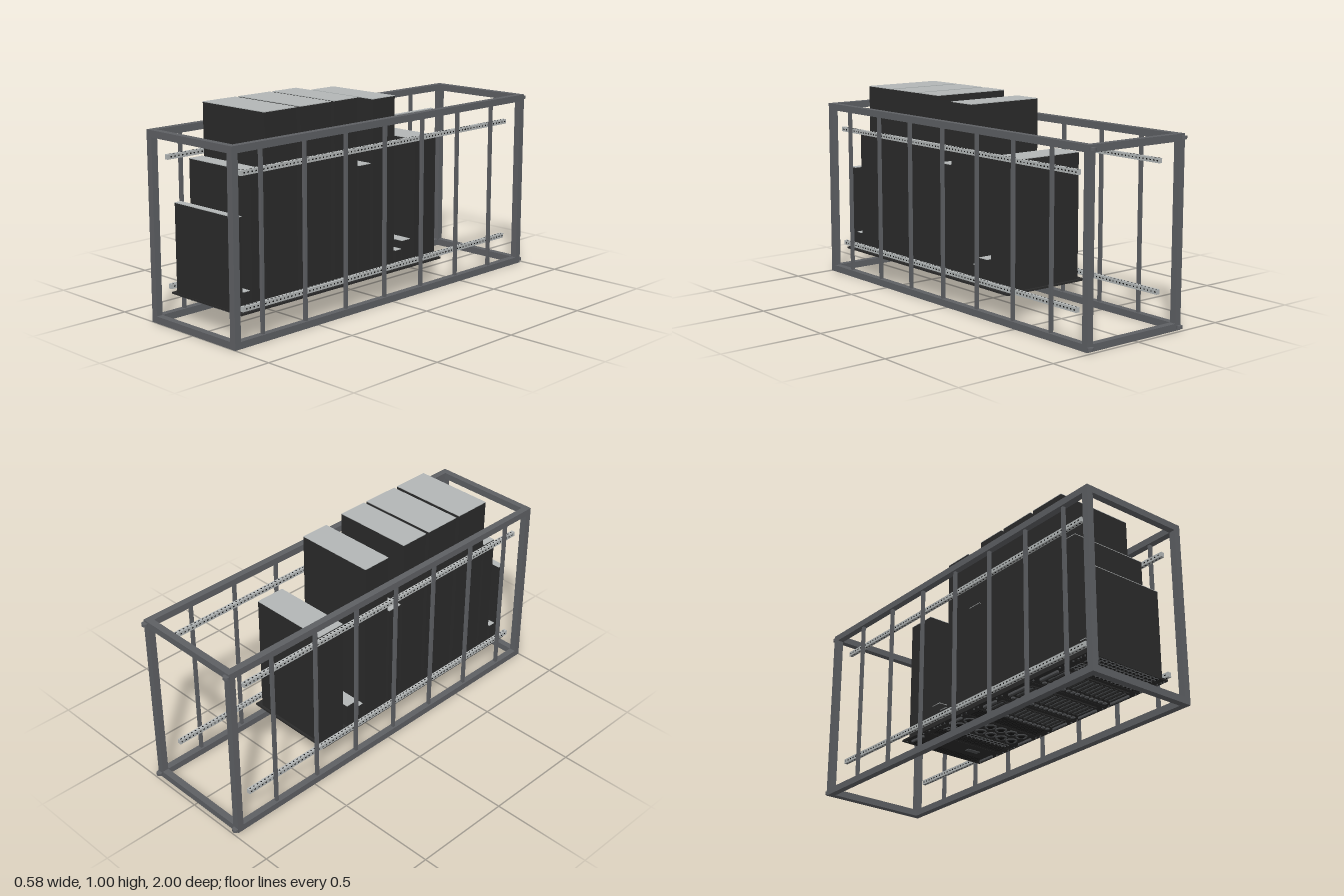
import * as THREE from 'three';
import { mergeGeometries } from 'three/addons/utils/BufferGeometryUtils.js';

const material = (name, color) => {
  const m = new THREE.MeshStandardMaterial({ color });
  m.name = name;
  return m;
};

// Box from its limits on each axis
const span = (x0, x1, y0, y1, z0, z1) => {
  const g = new THREE.BoxGeometry(x1 - x0, y1 - y0, z1 - z0);
  return g.translate((x0 + x1) / 2, (y0 + y1) / 2, (z0 + z1) / 2);
};

export function createModel() {
  const model = new THREE.Group();
  model.name = 'equipmentRack';
  const frameGrey = material('frame grey', 0x5d5f63);
  const caseDark = material('case charcoal', 0x2a2a2a);
  const lightMetal = material('light metal', 0xb2b6b6);
  const trimGrey = material('trim grey', 0x505254);
  const holeBlack = material('hole black', 0x141414);

  const add = (name, parts, mat, parent = model) => {
    const mesh = new THREE.Mesh(mergeGeometries(parts), mat);
    mesh.name = name;
    parent.add(mesh);
    return mesh;
  };

  // Outer frame: long beams, cross beams and corner posts
  const W = 0.288, H = 0.895, F = 1, B = -0.98, T = 0.033;
  const beams = [], posts = [], crossBeams = [], struts = [], feet = [];
  for (const y of [0, H - T]) {
    for (const z of [B, F - T]) crossBeams.push(span(-W + T, W - T, y, y + T, z, z + T));
    for (const s of [-1, 1]) {
      const x = s * (W - T / 2);
      beams.push(span(x - T / 2, x + T / 2, y, y + T, B, F));
      feet.push(new THREE.CylinderGeometry(0.015, 0.015, 0.014, 16)
        .translate(s * 0.275, y + T / 2, -0.985));
    }
  }
  for (const s of [-1, 1]) {
    const x = s * (W - T / 2);
    for (const z of [B, F - T]) posts.push(span(x - T / 2, x + T / 2, T, H - T, z, z + T));
    // Seven slim struts on each side
    for (let i = 0; i < 7; i++) {
      const z = 0.826 - i * 0.2592;
      struts.push(span(x - 0.008, x + 0.008, T, H - T, z - 0.007, z + 0.007));
    }
  }
  add('longBeams', beams, frameGrey);
  add('crossBeams', crossBeams, frameGrey);
  add('cornerPosts', posts, frameGrey);
  add('sideStruts', struts, frameGrey);
  add('feet', feet, frameGrey);

  // Mounting rails with a row of square holes on each face
  const rails = [], railHoles = [];
  for (const s of [-1, 1]) for (const y of [0.161, 0.764]) {
    const x = s * 0.2475, r = 0.0095, h = 0.0115;
    rails.push(span(x - r, x + r, y - h, y + h, -0.875, 0.925));
    for (let i = 0; i < 80; i++) {
      const z = -0.864 + i * 0.0224;
      railHoles.push(span(x - 0.003, x + 0.003, y - h - 0.0004, y + h + 0.0004, z - 0.004, z + 0.004));
      railHoles.push(span(x - r - 0.0004, x + r + 0.0004, y - 0.003, y + 0.003, z - 0.004, z + 0.004));
    }
  }
  add('mountingRails', rails, lightMetal);
  add('railHoles', railHoles, holeBlack);

  // Face details hang below each panel, whose outer surface is at y = P
  const P = 0.127;
  const plate = (x, z, w, d, drop) => span(x - w / 2, x + w / 2, P - drop, P + 0.001, z - d / 2, z + d / 2);
  const grid = (x0, x1, nx, z0, z1, nz, make) => {
    const out = [];
    for (let i = 0; i < nx; i++) for (let j = 0; j < nz; j++)
      out.push(make(x0 + (i + 0.5) * (x1 - x0) / nx, z0 + (j + 0.5) * (z1 - z0) / nz));
    return out;
  };
  const faces = {
    // Rows of sockets
    ports(g, z0, z1) {
      const rows = Math.max(2, Math.round((z1 - z0) / 0.02));
      add('portFrames', grid(-0.19, 0.19, 16, z0, z1, rows, (x, z) => plate(x, z, 0.018, 0.013, 0.004)), trimGrey, g);
      add('portOpenings', grid(-0.19, 0.19, 16, z0, z1, rows, (x, z) => plate(x, z, 0.012, 0.008, 0.005)), holeBlack, g);
    },
    // Narrow drive bays with latches
    bays(g, z0, z1) {
      const d = (z1 - z0) * 0.84, zc = (z0 + z1) / 2;
      add('bays', grid(-0.195, 0.195, 14, z0, z1, 1, x => plate(x, zc, 0.023, d, 0.005)), caseDark, g);
      add('bayGrilles', grid(-0.195, 0.195, 14, z0, z1, 1, x => plate(x, zc + d * 0.1, 0.009, d * 0.66, 0.007)), trimGrey, g);
      add('bayLatches', grid(-0.195, 0.195, 14, z0, z1, 1, x => plate(x, zc - d * 0.4, 0.014, d * 0.1, 0.012)), trimGrey, g);
    },
    // Perforated grille
    vent(g, z0, z1) {
      const rows = Math.max(2, Math.round((z1 - z0) / 0.014));
      add('ventHoles', grid(-0.2, 0.2, 28, z0 + 0.004, z1 - 0.004, rows, (x, z) => plate(x, z, 0.008, 0.007, 0.0006)), holeBlack, g);
    },
    // Two rows of round fan covers
    fans(g, z0, z1) {
      const r = (z1 - z0) * 0.17;
      const ring = (x, z) => new THREE.TorusGeometry(r, 0.004, 6, 18)
        .rotateX(Math.PI / 2).translate(x, P - 0.002, z);
      const hub = (x, z) => new THREE.CylinderGeometry(r * 0.55, r * 0.55, 0.008, 16).translate(x, P - 0.003, z);
      add('fanRings', grid(-0.19, 0.19, 6, z0, z1, 2, ring), trimGrey, g);
      add('fanHubs', grid(-0.19, 0.19, 6, z0, z1, 2, hub), holeBlack, g);
    },
    // Plain cover with a vent band and a status plate
    cover(g, z0, z1) {
      const d = z1 - z0;
      faces.vent(g, z0, z0 + d * 0.35);
      add('statusPlate', [plate(0.1, z0 + d * 0.7, 0.07, d * 0.18, 0.003)], trimGrey, g);
      add('displayWindow', [plate(-0.12, z0 + d * 0.7, 0.06, d * 0.25, 0.003)], holeBlack, g);
    },
  };

  // Units: [z back, z front, height, face type]
  const units = [
    [0.882, 0.918, 0.562, 'ports'],
    [0.840, 0.877, 0.22, 'ports'],
    [0.753, 0.828, 0.752, 'ports'],
    [0.549, 0.742, 1.0, 'bays'],
    [0.335, 0.528, 1.0, 'bays'],
    [0.164, 0.316, 1.0, 'bays'],
    [0.075, 0.153, 0.677, 'vent'],
    [-0.088, 0.062, 0.98, 'fans'],
    [-0.142, -0.100, 0.22, 'ports'],
    [-0.206, -0.147, 0.26, 'vent'],
    [-0.385, -0.233, 0.752, 'cover'],
  ];
  units.forEach(([z0, z1, top, face], i) => {
    const g = new THREE.Group();
    g.name = 'unit' + (i + 1);
    model.add(g);
    add('case', [span(-0.206, 0.206, 0.136, top - 0.003, z0, z1)], caseDark, g);
    add('rearPlate', [span(-0.206, 0.206, top - 0.003, top, z0, z1)], lightMetal, g);
    // Wide panel reaching to the rails, nearly touching its neighbours
    const p0 = i < 10 ? (z0 + units[i + 1][1]) / 2 + 0.001 : -0.398;
    const p1 = i > 0 ? (z1 + units[i - 1][0]) / 2 - 0.001 : 0.92;
    add('facePanel', [span(-0.24, 0.24, P, 0.136, p0, p1)], caseDark, g);
    faces[face](g, z0, z1);
    // Mounting screws on both ears
    const screws = [];
    for (const x of [-0.227, 0.227]) for (const z of [z0 + 0.01, z1 - 0.01])
      screws.push(new THREE.CylinderGeometry(0.004, 0.004, 0.005, 8).translate(x, P - 0.002, z));
    add('screws', screws, trimGrey, g);
    // Pull handles on the tall units
    if (z1 - z0 > 0.14) {
      const handles = [-0.212, 0.212].map(x => plate(x, (z0 + z1) / 2, 0.01, (z1 - z0) * 0.6, 0.01));
      add('handles', handles, trimGrey, g);
    }
  });
  return model;
}
